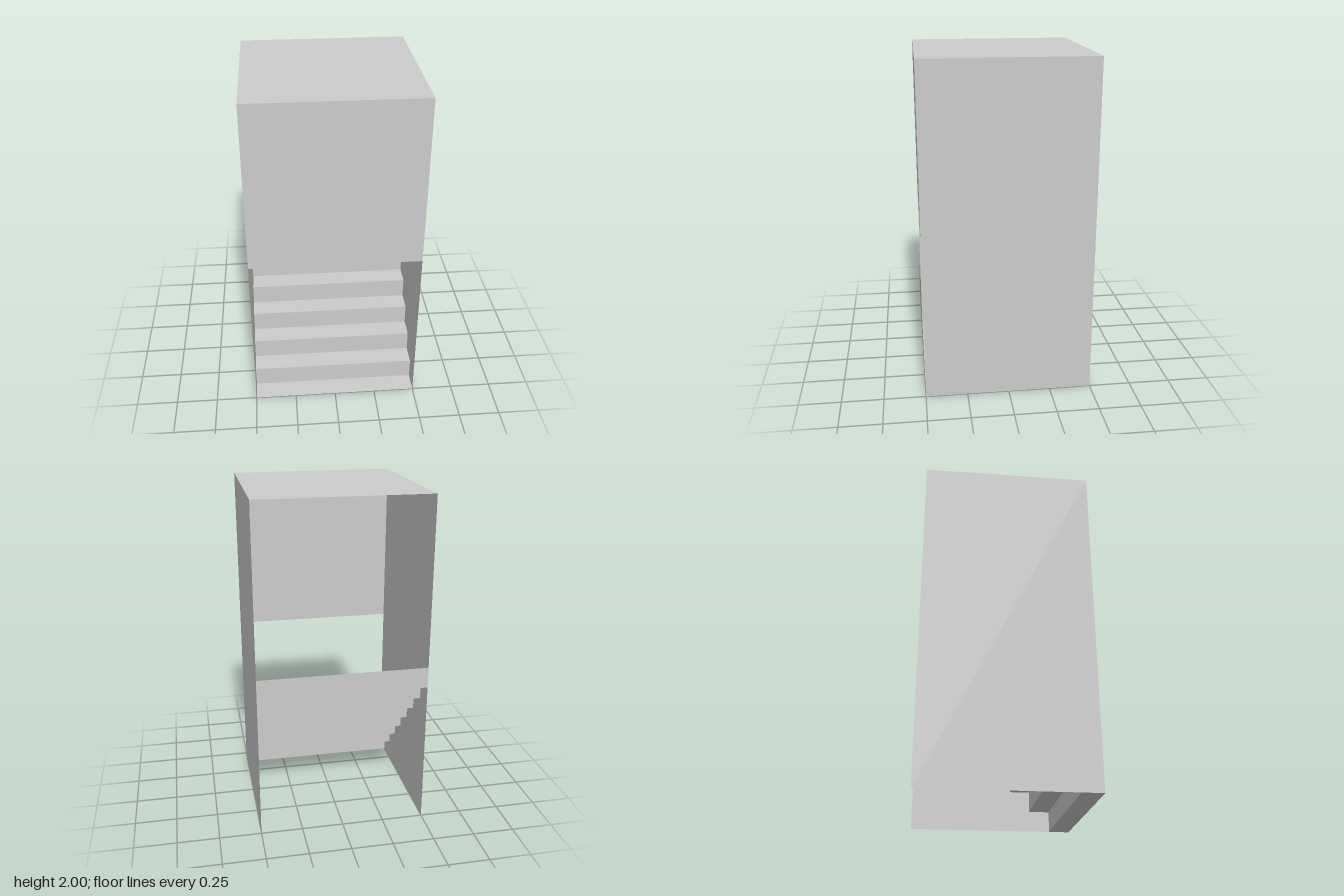
import * as THREE from 'three';

const WIDTH = 1, DEPTH = 1, HEIGHT = 2, STEPS = 8;

export function createModel() {
  const group = new THREE.Group();
  const material = new THREE.MeshStandardMaterial({
    color: 0xcccccc, flatShading: true, side: THREE.DoubleSide,
  });

  // Thin flat sheet, turned about x and y, then placed
  function sheet(name, w, h, [x, y, z], rx = 0, ry = 0, parent = group) {
    const mesh = new THREE.Mesh(new THREE.PlaneGeometry(w, h), material);
    mesh.name = name;
    mesh.rotation.set(rx, ry, 0);
    mesh.position.set(x, y, z);
    parent.add(mesh);
  }

  // Enclosure: two full side walls, roof, and a panel over the entrance
  for (const [name, s] of [['leftWall', 1], ['rightWall', -1]]) {
    sheet(name, DEPTH, HEIGHT, [s * WIDTH / 2, HEIGHT / 2, 0], 0, s * Math.PI / 2);
  }
  sheet('roof', WIDTH, DEPTH, [0, HEIGHT, 0], -Math.PI / 2);
  sheet('frontPanel', WIDTH, HEIGHT / 2, [0, HEIGHT * 0.75, DEPTH / 2]);

  // Folded staircase: each tread is followed by a riser at its back edge
  const stairs = new THREE.Group();
  stairs.name = 'staircase';
  group.add(stairs);
  const run = DEPTH / STEPS, rise = HEIGHT / 2 / STEPS;
  for (let i = 0; i < STEPS; i++) {
    const front = DEPTH / 2 - i * run, y = i * rise;
    sheet(`tread${i + 1}`, WIDTH, run, [0, y, front - run / 2], -Math.PI / 2, 0, stairs);
    sheet(`riser${i + 1}`, WIDTH, rise, [0, y + rise / 2, front - run], 0, 0, stairs);
  }

  return group;
}
